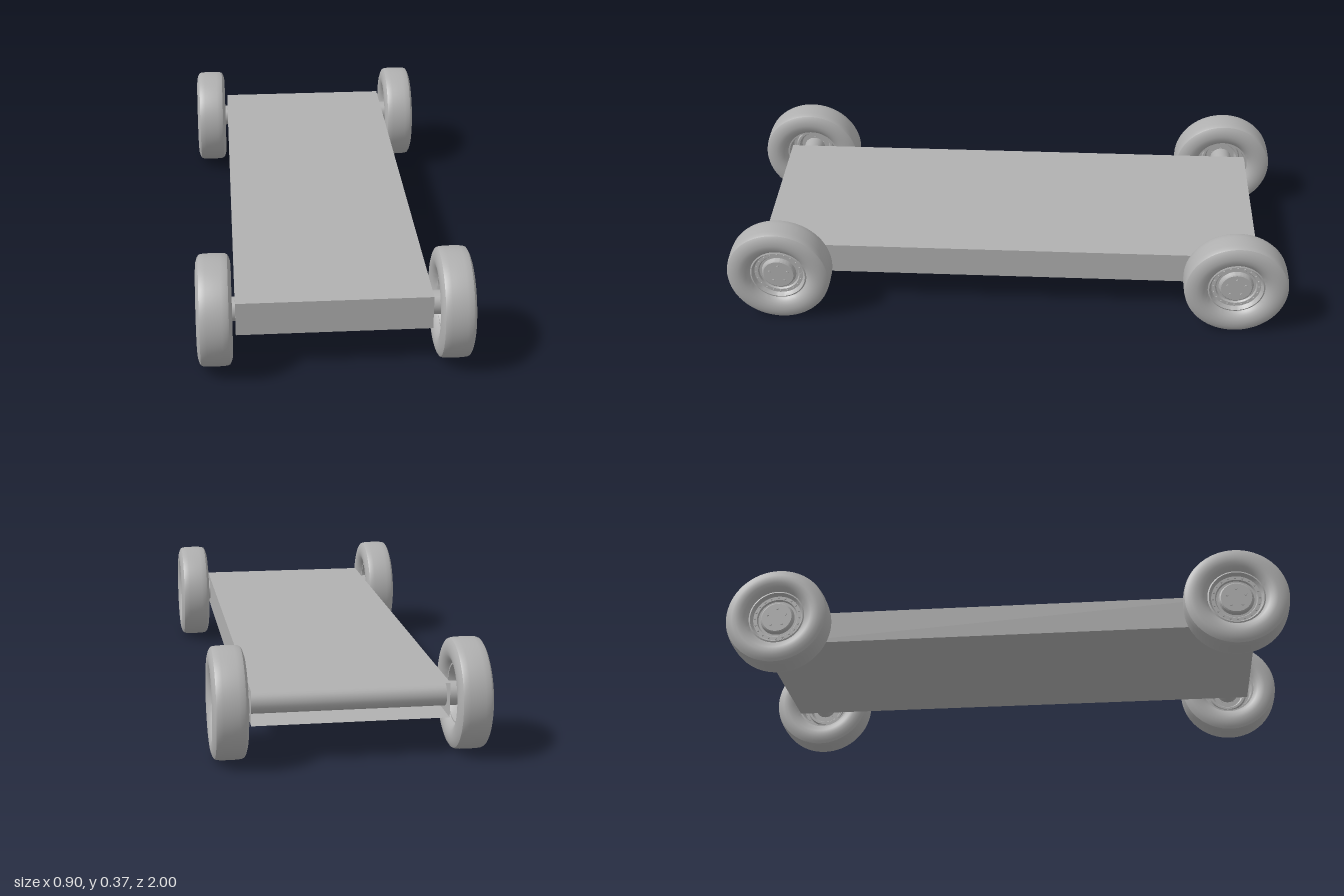
import * as THREE from 'three';
import { toCreasedNormals } from 'three/addons/utils/BufferGeometryUtils.js';

const grey = new THREE.MeshStandardMaterial({ color: 0xb0b0b0, side: THREE.DoubleSide });
grey.name = 'plain grey';

const AXLE_Y = 0.186, AXLE_Z = 0.815;

function part(name, geometry, parent) {
  const mesh = new THREE.Mesh(geometry, grey);
  mesh.name = name;
  parent.add(mesh);
  return mesh;
}

// Turned part around the x axis; each profile point is [radius, x], +x is outward
function turned(points, segments = 64) {
  const geo = new THREE.LatheGeometry(points.map(([r, x]) => new THREE.Vector2(r, x)), segments);
  return toCreasedNormals(geo.rotateZ(-Math.PI / 2), 0.6);
}

// Ring of small bolt heads on the outer face
function boltRing(name, count, ringRadius, boltRadius, x, parent) {
  for (let i = 0; i < count; i++) {
    const a = (i / count) * Math.PI * 2;
    const bolt = part(name, new THREE.CylinderGeometry(boltRadius, boltRadius, 0.006, 8), parent);
    bolt.rotation.z = -Math.PI / 2;
    bolt.position.set(x, Math.cos(a) * ringRadius, Math.sin(a) * ringRadius);
  }
}

// Wheel centred on its own width of 0.116
function makeWheel() {
  const wheel = new THREE.Group();
  wheel.name = 'wheel';

  // Tyre: nearly flat tread, rounded shoulders, sidewalls curving in to the bead
  const half = [[0.185, 0], [0.1845, 0.025], [0.183, 0.040], [0.180, 0.047], [0.172, 0.052],
    [0.158, 0.0565], [0.143, 0.058], [0.128, 0.056], [0.115, 0.050], [0.106, 0.042], [0.100, 0.034]];
  const tyre = [...half.slice(1).reverse().map(([r, x]) => [r, -x]), ...half];
  part('tyre', turned(tyre), wheel);

  // Rim barrel, open toward the vehicle, with a stepped outer face
  part('rim', turned([[0.100, -0.034], [0.094, -0.034], [0.090, -0.022], [0.086, 0.000],
    [0.086, 0.022], [0.092, 0.030], [0.096, 0.038], [0.101, 0.036]]), wheel);
  part('rimFace', turned([[0.088, 0.024], [0.074, 0.024], [0.070, 0.018], [0.062, 0.018],
    [0.058, 0.030], [0.054, 0.033], [0, 0.033]]), wheel);

  boltRing('rimBolt', 20, 0.081, 0.0035, 0.026, wheel);
  boltRing('hubBolt', 5, 0.034, 0.005, 0.034, wheel);
  return wheel;
}

export function createModel() {
  const model = new THREE.Group();
  model.name = 'rollingChassis';

  // Hollow body, open at the rear (the last box face is the -z one)
  const shell = new THREE.BoxGeometry(0.646, 0.117, 1.78);
  shell.setIndex(Array.from(shell.index.array).slice(0, 30));
  shell.clearGroups();
  part('body', shell, model).position.set(-0.001, 0.1865, -0.005);

  // Axles run through the body into the hubs
  for (const end of [1, -1]) {
    const axle = part(end > 0 ? 'frontAxle' : 'rearAxle', new THREE.CylinderGeometry(0.04, 0.04, 0.82, 32), model);
    axle.rotation.z = Math.PI / 2;
    axle.position.set(0, AXLE_Y, end * AXLE_Z);

    for (const side of [1, -1]) {
      const wheel = makeWheel();
      wheel.name = (end > 0 ? 'front' : 'rear') + (side > 0 ? 'Left' : 'Right') + 'Wheel';
      wheel.position.set(side * 0.392, AXLE_Y, end * AXLE_Z);
      if (side < 0) wheel.rotation.y = Math.PI;
      model.add(wheel);
    }
  }
  return model;
}
